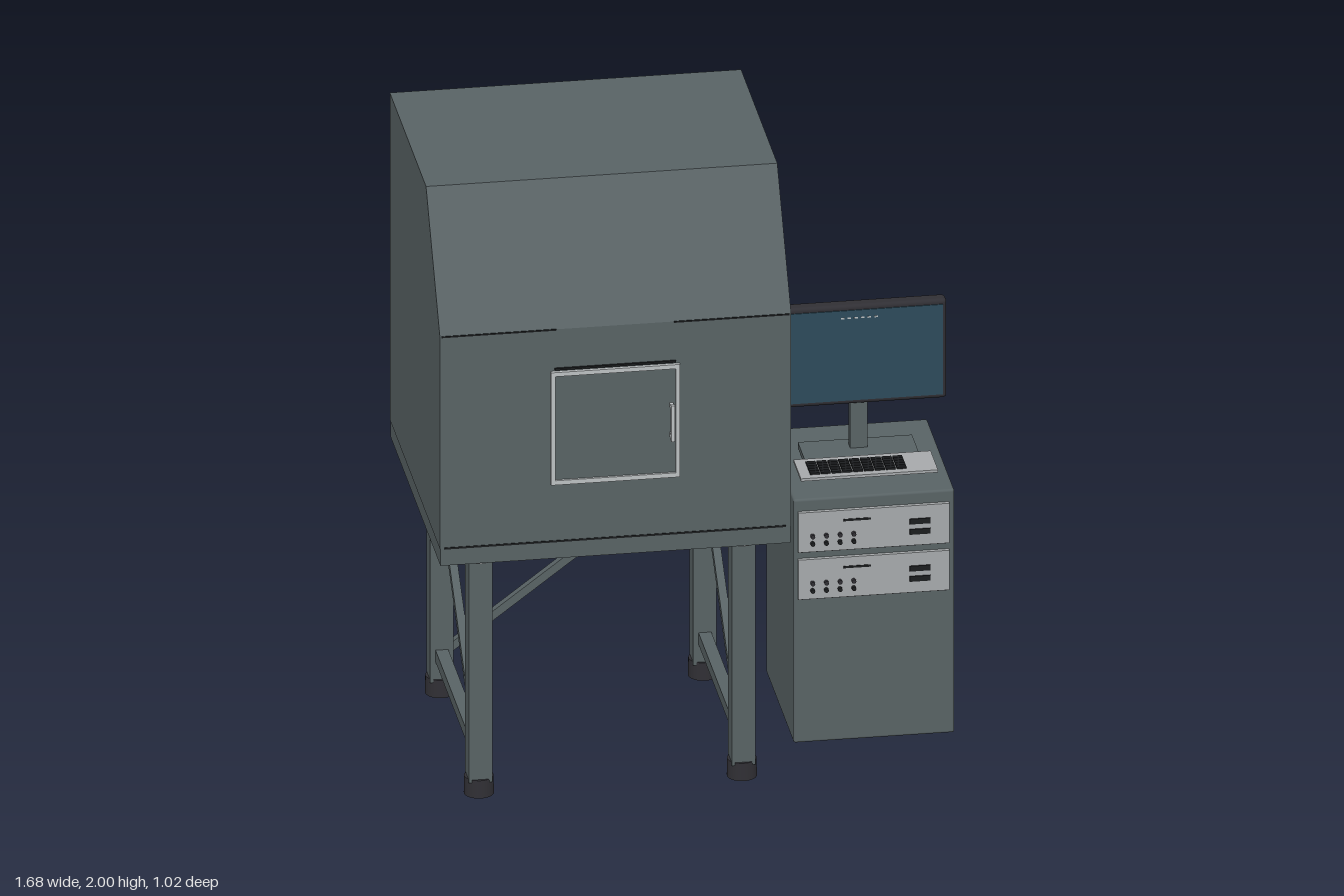
import * as THREE from 'three';
import { RoundedBoxGeometry } from 'three/addons/geometries/RoundedBoxGeometry.js';

const mat = (name, color) => {
  const m = new THREE.MeshStandardMaterial({ color });
  m.name = name;
  return m;
};

export function createModel() {
  const steel = mat('steel grey', 0x586264);
  const dark = mat('dark plastic', 0x302f34);
  const black = mat('black', 0x1b1d1f);
  const silver = mat('silver', 0xa6a9ab);
  const pale = mat('pale metal', 0xbcc0c2);
  const glass = mat('screen blue', 0x2c4a5a);

  const model = new THREE.Group();
  model.name = 'testChamberWorkstation';
  const group = (name) => {
    const g = new THREE.Group();
    g.name = name;
    model.add(g);
    return g;
  };
  const add = (parent, name, geo, material, x = 0, y = 0, z = 0) => {
    const m = new THREE.Mesh(geo, material);
    m.name = name;
    m.position.set(x, y, z);
    parent.add(m);
    return m;
  };
  // Box given by its minimum and maximum on each axis
  const box = (parent, name, material, x0, x1, y0, y1, z0, z1, r = 0) => {
    const s = [x1 - x0, y1 - y0, z1 - z0];
    const geo = r ? new RoundedBoxGeometry(...s, 2, r) : new THREE.BoxGeometry(...s);
    return add(parent, name, geo, material, (x0 + x1) / 2, (y0 + y1) / 2, (z0 + z1) / 2);
  };
  // Square bar between two points
  const bar = (parent, name, a, b, t) => {
    const A = new THREE.Vector3(...a), B = new THREE.Vector3(...b);
    const m = add(parent, name, new THREE.BoxGeometry(t, t, A.distanceTo(B)), steel);
    m.position.copy(A).add(B).multiplyScalar(0.5);
    m.lookAt(B);
  };

  // Chamber: side profile with sloped front, extruded across the width
  const chamber = group('chamber');
  const profile = new THREE.Shape([[-0.51, 0.888], [0.472, 0.888], [0.472, 1.61], [0.2, 2], [-0.51, 2]]
    .map(([z, y]) => new THREE.Vector2(z, y)));
  const shell = new THREE.ExtrudeGeometry(profile, { depth: 1.102, bevelEnabled: false });
  shell.rotateY(-Math.PI / 2).translate(0.257, 0, 0);
  add(chamber, 'chamberShell', shell, steel);
  box(chamber, 'chamberBase', steel, -0.843, 0.255, 0.83, 0.888, -0.507, 0.47);
  box(chamber, 'lowerSeam', black, -0.83, 0.24, 0.886, 0.892, 0.468, 0.474);
  box(chamber, 'upperSeamRight', black, -0.84, -0.48, 1.606, 1.611, 0.466, 0.474);
  box(chamber, 'upperSeamLeft', black, -0.11, 0.252, 1.606, 1.611, 0.466, 0.474);

  // Door with a pale frame and a bow handle
  const door = group('door');
  const rect = (P, x0, x1, y0, y1) => new P([[x0, y0], [x1, y0], [x1, y1], [x0, y1]]
    .map((p) => new THREE.Vector2(...p)));
  const frame = rect(THREE.Shape, -0.498, -0.093, 1.085, 1.468);
  frame.holes.push(rect(THREE.Path, -0.484, -0.107, 1.1, 1.454));
  add(door, 'doorFrame', new THREE.ExtrudeGeometry(frame, { depth: 0.012, bevelEnabled: false }),
    pale, 0, 0, 0.472);
  box(door, 'doorPanel', steel, -0.484, -0.107, 1.1, 1.454, 0.47, 0.476);
  box(door, 'doorHood', black, -0.485, -0.105, 1.473, 1.479, 0.471, 0.479);
  box(door, 'handleGrip', pale, -0.126, -0.114, 1.22, 1.342, 0.502, 0.514);
  for (const y of [1.225, 1.325])
    box(door, 'handlePost', pale, -0.126, -0.114, y, y + 0.012, 0.476, 0.503);

  // Stand: four square legs with collars and feet
  const stand = group('stand');
  const legX = [-0.705, 0.12], legZ = [-0.4, 0.36];
  for (const x of legX) {
    for (const z of legZ) {
      box(stand, 'leg', steel, x - 0.037, x + 0.037, 0.05, 0.81, z - 0.037, z + 0.037);
      add(stand, 'collar', new THREE.CylinderGeometry(0.052, 0.052, 0.03, 24), pale, x, 0.816, z);
      add(stand, 'foot', new THREE.CylinderGeometry(0.046, 0.047, 0.06, 24), dark, x, 0.03, z);
    }
    // Side rail and side brace
    box(stand, 'sideRail', steel, x - 0.02, x + 0.02, 0.12, 0.16, -0.37, 0.33);
    bar(stand, 'sideBrace', [x, 0.15, 0.34], [x, 0.74, -0.38], 0.026);
  }
  bar(stand, 'backBrace', [-0.685, 0.145, -0.4], [0.1, 0.735, -0.4], 0.026);

  // Cabinet
  const cabinet = group('cabinet');
  box(cabinet, 'cabinetBody', steel, 0.315, 0.82, 0.002, 0.83, -0.38, 0.157, 0.008);

  // Two identical rack units: front controls and rear fans
  for (const y of [0.495, 0.655]) {
    box(cabinet, 'rackPanel', silver, 0.328, 0.802, y, y + 0.135, 0.15, 0.17);
    box(cabinet, 'rackShadowGap', black, 0.328, 0.802, y - 0.005, y, 0.15, 0.16);
    for (let i = 0; i < 4; i++) {
      for (const dy of [0.03, 0.055]) {
        const knob = add(cabinet, 'knob', new THREE.CylinderGeometry(0.007, 0.007, 0.014, 12),
          dy > 0.04 ? dark : black, 0.372 + i * 0.043, y + dy, 0.175);
        knob.rotation.x = Math.PI / 2;
      }
    }
    for (const dy of [0.038, 0.073])
      box(cabinet, 'rackSlot', black, 0.677, 0.742, y + dy, y + dy + 0.018, 0.168, 0.174);
    box(cabinet, 'rackDisplay', black, 0.47, 0.555, y + 0.098, y + 0.105, 0.168, 0.172);

    const fy = y + 0.065;
    for (const x of [0.7, 0.44]) {
      const fan = add(cabinet, 'fanDisc', new THREE.CylinderGeometry(0.05, 0.05, 0.008, 24), black, x, fy, -0.382);
      fan.rotation.x = Math.PI / 2;
      for (const r of [0.018, 0.034])
        add(cabinet, 'fanRing', new THREE.TorusGeometry(r, 0.002, 6, 24), silver, x, fy, -0.386);
      for (const a of [Math.PI / 4, -Math.PI / 4])
        add(cabinet, 'fanSpoke', new THREE.BoxGeometry(0.09, 0.004, 0.004), silver, x, fy, -0.386).rotation.z = a;
    }
    box(cabinet, 'powerSocket', black, 0.553, 0.593, fy - 0.02, fy + 0.02, -0.386, -0.378);
    box(cabinet, 'rearSwitch', black, 0.762, 0.786, fy - 0.015, fy + 0.02, -0.386, -0.378);
  }

  // Cables from the cabinet back to the chamber underside
  const cable = (name, pts) => add(model, name, new THREE.TubeGeometry(
    new THREE.CatmullRomCurve3(pts.map((p) => new THREE.Vector3(...p))), 32, 0.007, 8), black);
  cable('mainCable', [[0.13, 0.835, -0.48], [0.16, 0.73, -0.465], [0.22, 0.63, -0.425],
    [0.32, 0.582, -0.395], [0.44, 0.575, -0.392], [0.57, 0.56, -0.384]]);
  cable('linkCable', [[0.57, 0.72, -0.384], [0.53, 0.68, -0.392], [0.46, 0.62, -0.392], [0.38, 0.588, -0.392]]);

  // Monitor
  const monitor = group('monitor');
  box(monitor, 'monitorCase', dark, 0.293, 0.84, 1.015, 1.352, -0.166, -0.12, 0.012);
  box(monitor, 'screen', glass, 0.306, 0.827, 1.03, 1.336, -0.124, -0.117);
  for (let i = 0; i < 6; i++)
    box(monitor, 'statusMark', pale, 0.507 + i * 0.021, 0.518 + i * 0.021, 1.308, 1.313, -0.118, -0.1155);
  box(monitor, 'monitorNeck', steel, 0.54, 0.595, 0.85, 1.1, -0.175, -0.14);
  box(monitor, 'monitorBase', steel, 0.387, 0.745, 0.838, 0.857, -0.21, -0.01);

  // Keyboard with a grid of keys
  const keyboard = group('keyboard');
  box(keyboard, 'keyboardPlate', silver, 0.35, 0.78, 0.857, 0.866, -0.063, 0.082);
  for (let r = 0; r < 5; r++)
    for (let c = 0; c < 9; c++) {
      const x = 0.383 + c * 0.034, z = -0.032 + r * 0.0185;
      box(keyboard, 'key', black, x, x + 0.03, 0.865, 0.872, z, z + 0.0155);
    }

  return model;
}
